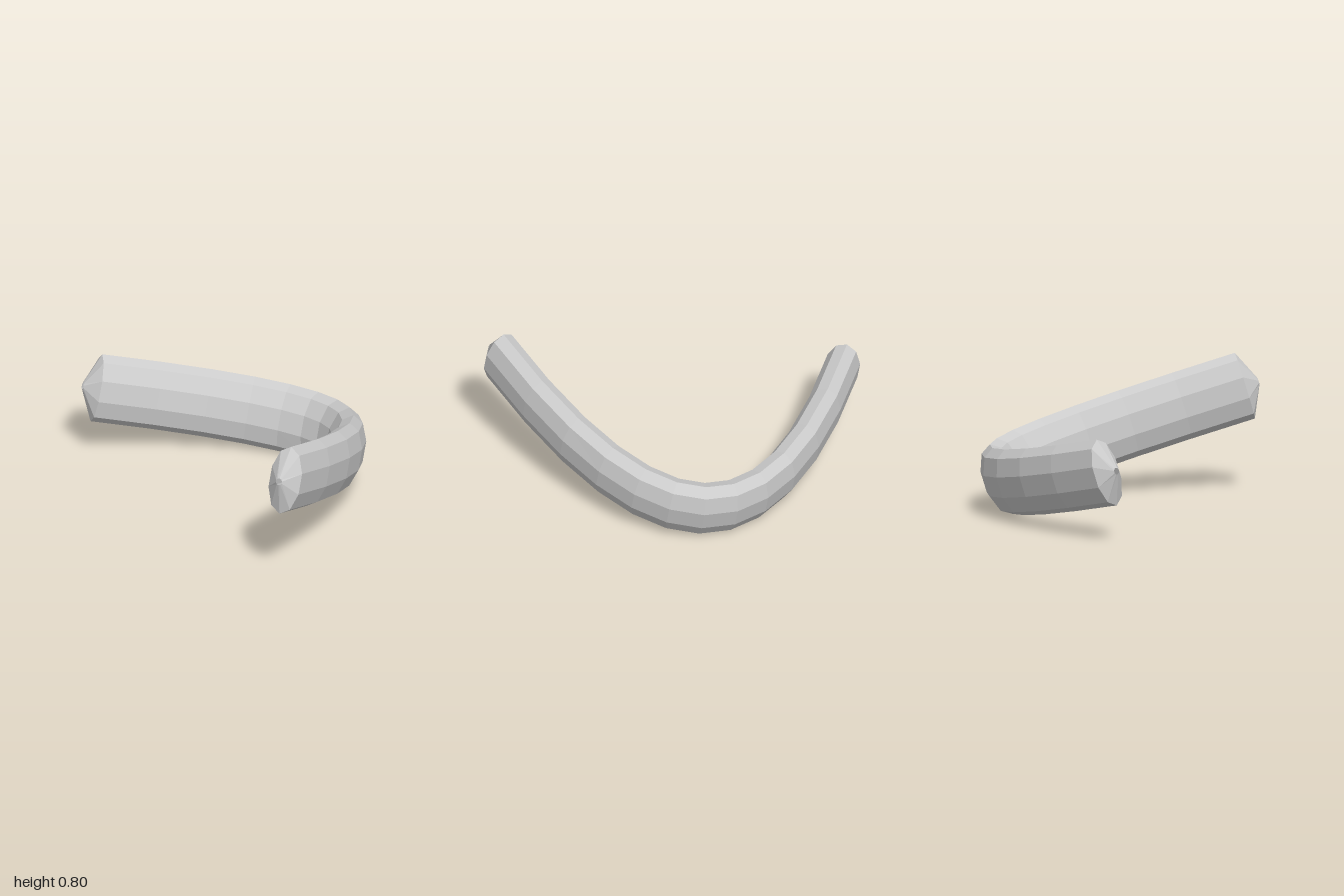
import * as THREE from 'three';

const SIDES = 10;
const SEGMENTS = 12;
const HALF_WIDTH = 0.103;
const HALF_HEIGHT = 0.2;
const CAP_LENGTH = 0.083;
const TIP_RADIUS = 0.02;

// Height of the tilted plane in which the bar bends
const onPlane = (x, z) => new THREE.Vector3(x, 0.405 - 0.0124 * x + 0.302 * z, z);

export function createModel() {
  const group = new THREE.Group();
  const up = new THREE.Vector3(0.0124, 1, -0.302).normalize();
  const curve = new THREE.QuadraticBezierCurve3(
    onPlane(-0.93, -0.06), onPlane(0.63, -1.63), onPlane(0.9, 0.715));

  // Elliptical cross-section, shifted along the path by "push"
  const positions = [];
  const addRing = (t, width, height, push = 0) => {
    const tangent = curve.getTangent(t);
    const side = new THREE.Vector3().crossVectors(tangent, up).normalize();
    const centre = curve.getPoint(t).addScaledVector(tangent, push);
    for (let j = 0; j < SIDES; j++) {
      const a = ((j + 0.5) / SIDES) * Math.PI * 2;
      const p = centre.clone()
        .addScaledVector(side, Math.cos(a) * width)
        .addScaledVector(up, Math.sin(a) * height);
      positions.push(p.x, p.y, p.z);
    }
  };

  // Pointed start, swept body, pointed end (tips have a small opening)
  addRing(0, TIP_RADIUS, TIP_RADIUS, -CAP_LENGTH);
  for (let i = 0; i <= SEGMENTS; i++) addRing(i / SEGMENTS, HALF_WIDTH, HALF_HEIGHT);
  addRing(1, TIP_RADIUS, TIP_RADIUS, CAP_LENGTH);

  // Join neighbouring rings
  const index = [];
  for (let i = 0; i < SEGMENTS + 2; i++) {
    for (let j = 0; j < SIDES; j++) {
      const a = i * SIDES + j;
      const b = i * SIDES + ((j + 1) % SIDES);
      index.push(a, a + SIDES, b, b, a + SIDES, b + SIDES);
    }
  }

  const geometry = new THREE.BufferGeometry();
  geometry.setAttribute('position', new THREE.Float32BufferAttribute(positions, 3));
  geometry.setIndex(index);
  geometry.computeVertexNormals();

  const bar = new THREE.Mesh(geometry, new THREE.MeshStandardMaterial({
    color: 0xcccccc, flatShading: true, side: THREE.DoubleSide,
  }));
  bar.name = 'curvedBar';
  group.add(bar);
  return group;
}
